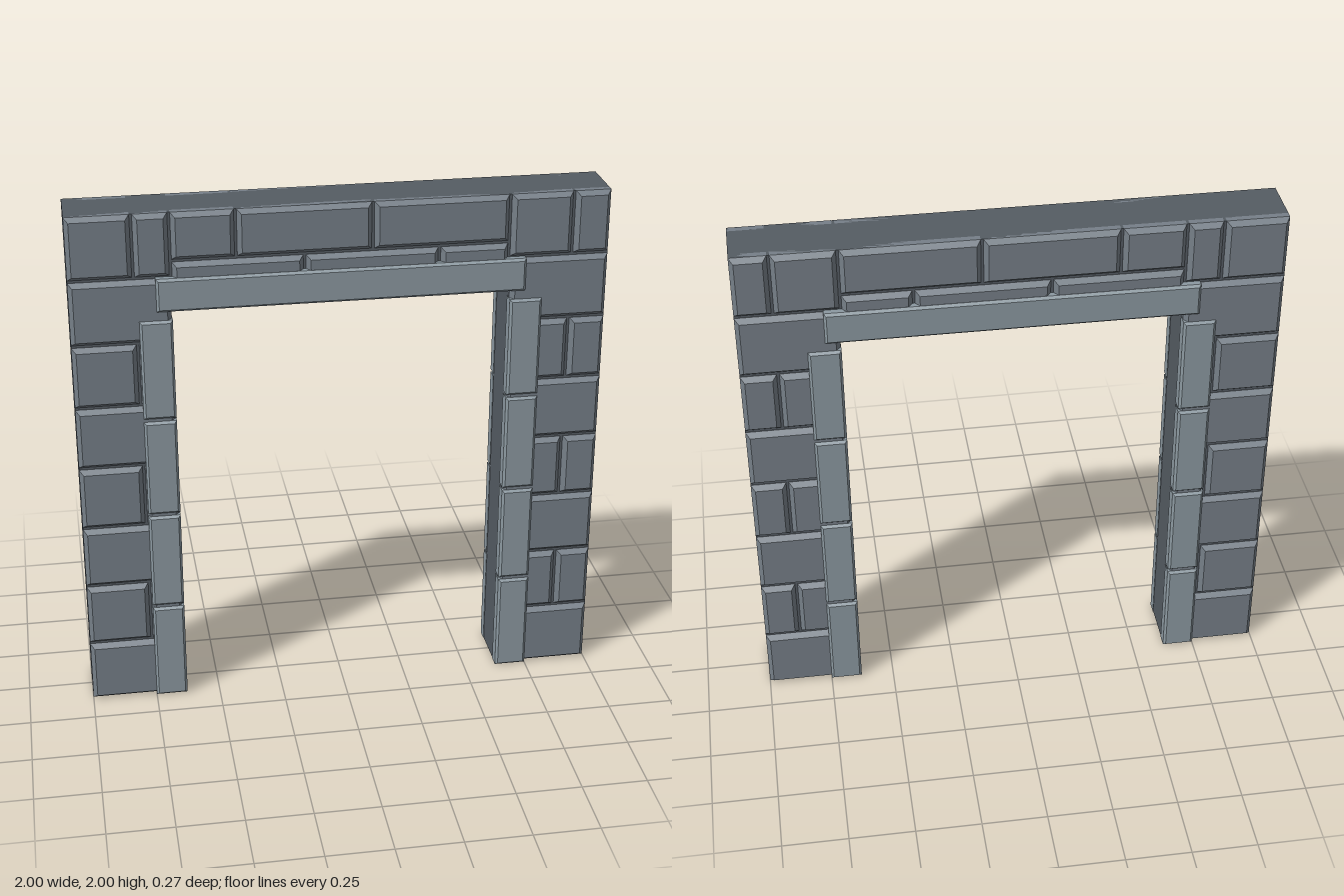
import * as THREE from 'three';

const material = (color) => new THREE.MeshStandardMaterial({ color, flatShading: true });
const coreMat = material(0x555c63);
const brickMat = material(0x767f88);
const trimMat = material(0x8c99a1);

const CORE = 0.104; // half depth of the wall core
const OPEN = 0.63; // half width of the opening
const HEAD = 1.635; // height of the opening

// Block whose front face is inset by a chamfer; spans z0 (buried) to z2 (face)
function chamferedBlock(w, h, z0, z1, z2, bevel) {
  const geo = new THREE.BoxGeometry(w, h, 1, 1, 1, 2);
  const p = geo.attributes.position;
  for (let i = 0; i < p.count; i++) {
    const z = p.getZ(i);
    if (z > 0.4) {
      p.setX(i, p.getX(i) - Math.sign(p.getX(i)) * bevel);
      p.setY(i, p.getY(i) - Math.sign(p.getY(i)) * bevel);
    }
    p.setZ(i, z > 0.4 ? z2 : z < -0.4 ? z0 : z1);
  }
  geo.computeVertexNormals();
  return geo;
}

// Adds the same block to the front and back of the wall
function addPair(group, name, [x0, x1, y0, y1], z1, z2, bevel, mat) {
  const front = chamferedBlock(x1 - x0, y1 - y0, 0.08, z1, z2, bevel);
  const back = front.clone().rotateY(Math.PI);
  [[front, 'Front'], [back, 'Back']].forEach(([geo, side]) => {
    const mesh = new THREE.Mesh(geo, mat);
    mesh.name = name + side;
    mesh.position.set((x0 + x1) / 2, (y0 + y1) / 2, 0);
    group.add(mesh);
  });
}

export function createModel() {
  const model = new THREE.Group();
  model.name = 'stoneDoorway';

  // Wall core: an upside-down U around the opening
  const outline = new THREE.Shape([
    [-1, 0], [-OPEN, 0], [-OPEN, HEAD], [OPEN, HEAD],
    [OPEN, 0], [1, 0], [1, 2], [-1, 2],
  ].map(([x, y]) => new THREE.Vector2(x, y)));
  const coreGeo = new THREE.ExtrudeGeometry(outline, { depth: CORE * 2, bevelEnabled: false });
  const core = new THREE.Mesh(coreGeo.translate(0, 0, -CORE), coreMat);
  core.name = 'wallCore';
  model.add(core);

  // Brick cells, mortar gap taken off every edge that is not on the wall's outline
  const bricks = new THREE.Group();
  bricks.name = 'bricks';
  const gap = 0.005;
  const brick = (x0, x1, y0, y1) => addPair(bricks, 'brick', [
    Math.abs(x0) === 1 || x0 === OPEN ? x0 : x0 + gap,
    Math.abs(x1) === 1 || x1 === -OPEN ? x1 : x1 - gap,
    y0 === 0 ? y0 : y0 + gap,
    y1 === 2 ? y1 : y1 - gap,
  ], CORE + 0.001, 0.126, 0.016, brickMat);

  // Pier courses: whole bricks alternate with split ones
  const rows = [0, 0.25, 0.505, 0.757, 1.01, 1.257, 1.505, 1.757];
  for (let i = 0; i < rows.length - 1; i++) {
    const [y0, y1] = [rows[i], rows[i + 1]];
    const left = i % 2 ? [-1, -0.758, -OPEN] : [-1, -OPEN];
    const right = i % 2 ? [OPEN, 0.862, 1] : [OPEN, 1];
    for (const xs of [left, right]) {
      for (let k = 0; k < xs.length - 1; k++) brick(xs[k], xs[k + 1], y0, y1);
    }
  }

  // Top course: taller bricks over the piers
  const top = [-1, -0.763, -0.628, -0.39, 0.112, 0.622, 0.862, 1];
  for (let k = 0; k < top.length - 1; k++) {
    const overOpening = k > 1 && k < 5;
    brick(top[k], top[k + 1], overOpening ? 1.817 : 1.757, 2);
  }

  // Low course just above the lintel
  const low = [-0.628, -0.14, 0.36, 0.622];
  for (let k = 0; k < low.length - 1; k++) brick(low[k], low[k + 1], 1.65, 1.817);
  model.add(bricks);

  // Door surround: stacked jamb stones and a long lintel
  const trim = new THREE.Group();
  trim.name = 'doorSurround';
  const jambRows = [0, 0.403, 0.803, 1.2, 1.602];
  for (let i = 0; i < 4; i++) {
    const y0 = jambRows[i] + (i ? 0.006 : 0);
    const y1 = jambRows[i + 1] - 0.006;
    addPair(trim, 'jambLeft', [0.628, 0.75, y0, y1], 0.126, 0.136, 0.009, trimMat);
    addPair(trim, 'jambRight', [-0.75, -0.628, y0, y1], 0.126, 0.136, 0.009, trimMat);
  }
  addPair(trim, 'lintel', [-0.685, 0.685, 1.63, 1.757], 0.127, 0.137, 0.009, trimMat);
  model.add(trim);

  return model;
}
